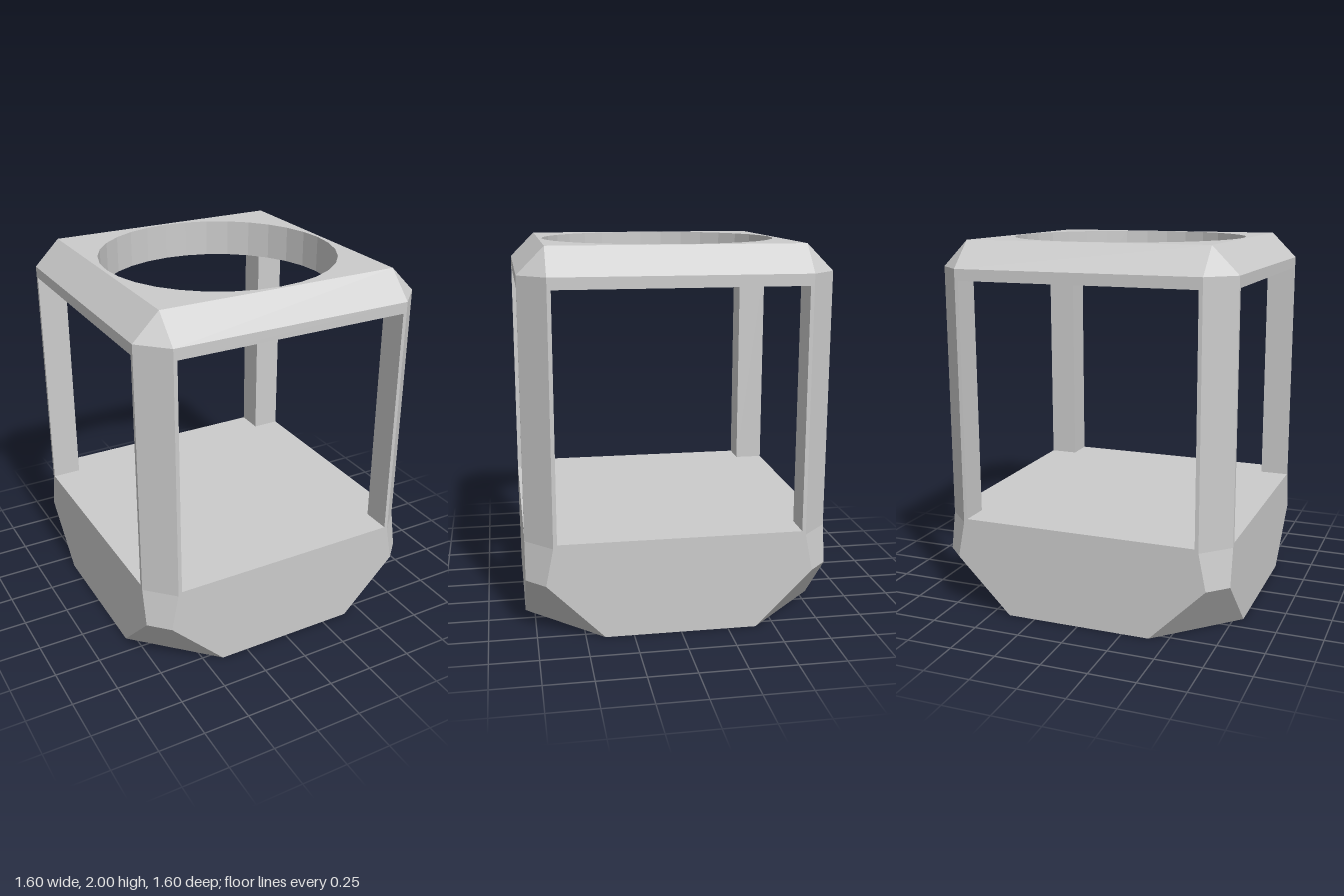
import * as THREE from 'three';
import { mergeGeometries } from 'three/addons/utils/BufferGeometryUtils.js';

const HALF = 0.8, CUT = 0.14, OPEN = 0.64;   // body half width, corner chamfer, opening half width
const FLOOR = 0.52, CEILING = 1.8, TOP = 2;

// Repeat some corner points [x, -z] around the four corners, counterclockwise from above
function fourfold(corner) {
  const points = [];
  for (let k = 0; k < 4; k++) {
    for (let [x, y] of corner) {
      for (let n = 0; n < k; n++) [x, y] = [-y, x];
      points.push(new THREE.Vector2(x, y));
    }
  }
  return points;
}

// Square with chamfered corners
const octagon = (h, c) => fourfold([[h, h - c], [h - c, h]]);

// Faceted walls joining cross-sections [height, points]
function loft(sections) {
  const pos = [];
  for (let s = 0; s + 1 < sections.length; s++) {
    const [y0, low] = sections[s], [y1, high] = sections[s + 1];
    for (let i = 0; i < low.length; i++) {
      const j = (i + 1) % low.length;
      const at = (p, y) => [p.x, y, -p.y];
      const a = at(low[i], y0), b = at(low[j], y0), c = at(high[j], y1), d = at(high[i], y1);
      pos.push(...a, ...b, ...c);
      if (high[i].distanceTo(high[j]) > 1e-6) pos.push(...a, ...c, ...d);
    }
  }
  const geo = new THREE.BufferGeometry();
  geo.setAttribute('position', new THREE.Float32BufferAttribute(pos, 3));
  geo.computeVertexNormals();
  return geo;
}

// Flat horizontal face, facing up or down, with an optional hole
function cap(points, y, up, hole) {
  const shape = new THREE.Shape(points);
  if (hole) shape.holes.push(new THREE.Path(hole));
  const geo = new THREE.ShapeGeometry(shape).toNonIndexed();
  geo.deleteAttribute('uv');
  return geo.rotateX(up ? -Math.PI / 2 : Math.PI / 2).translate(0, y, 0);
}

export function createModel() {
  const group = new THREE.Group();
  const material = new THREE.MeshStandardMaterial({ color: 0xcccccc, flatShading: true });
  const add = (name, parts) => {
    const mesh = new THREE.Mesh(mergeGeometries(parts), material);
    mesh.name = name;
    group.add(mesh);
    return mesh;
  };

  // Solid base with large sloping cuts under the corners; its floor leaves room for the posts
  const body = octagon(HALF, CUT);
  const floor = fourfold([[HALF, OPEN], [OPEN, OPEN], [OPEN, HALF]]);
  add('base', [
    loft([[0, octagon(HALF, 0.4)], [0.3, octagon(HALF, 0.1)], [0.5, body], [FLOOR, body]]),
    cap(octagon(HALF, 0.4), 0, false),
    cap(floor, FLOOR, true),
  ]);

  // Four corner posts with a chamfered outer edge
  const inner = HALF - CUT;
  const post = [[OPEN, OPEN], [HALF, OPEN], [HALF, inner], [inner, HALF], [OPEN, HALF]]
    .map(([x, y]) => new THREE.Vector2(x, y));
  for (let k = 0; k < 4; k++) {
    add('cornerPost', [loft([[FLOOR, post], [CEILING, post]])]).rotation.y = k * Math.PI / 2;
  }

  // Top frame with bevelled edges and a round opening (clockwise, so its wall faces inward)
  const circle = Array.from({ length: 32 }, (_, i) => {
    const t = -i / 32 * Math.PI * 2;
    return new THREE.Vector2(OPEN * Math.cos(t), OPEN * Math.sin(t));
  });
  const rim = octagon(inner, 0);
  const rimSquare = fourfold([[inner, inner]]);
  add('topFrame', [
    loft([[CEILING, body], [TOP - CUT, body], [TOP, rim]]),
    loft([[CEILING, circle], [TOP, circle]]),
    cap(rimSquare, TOP, true, circle),
    cap(floor, CEILING, false, circle),
  ]);

  return group;
}
